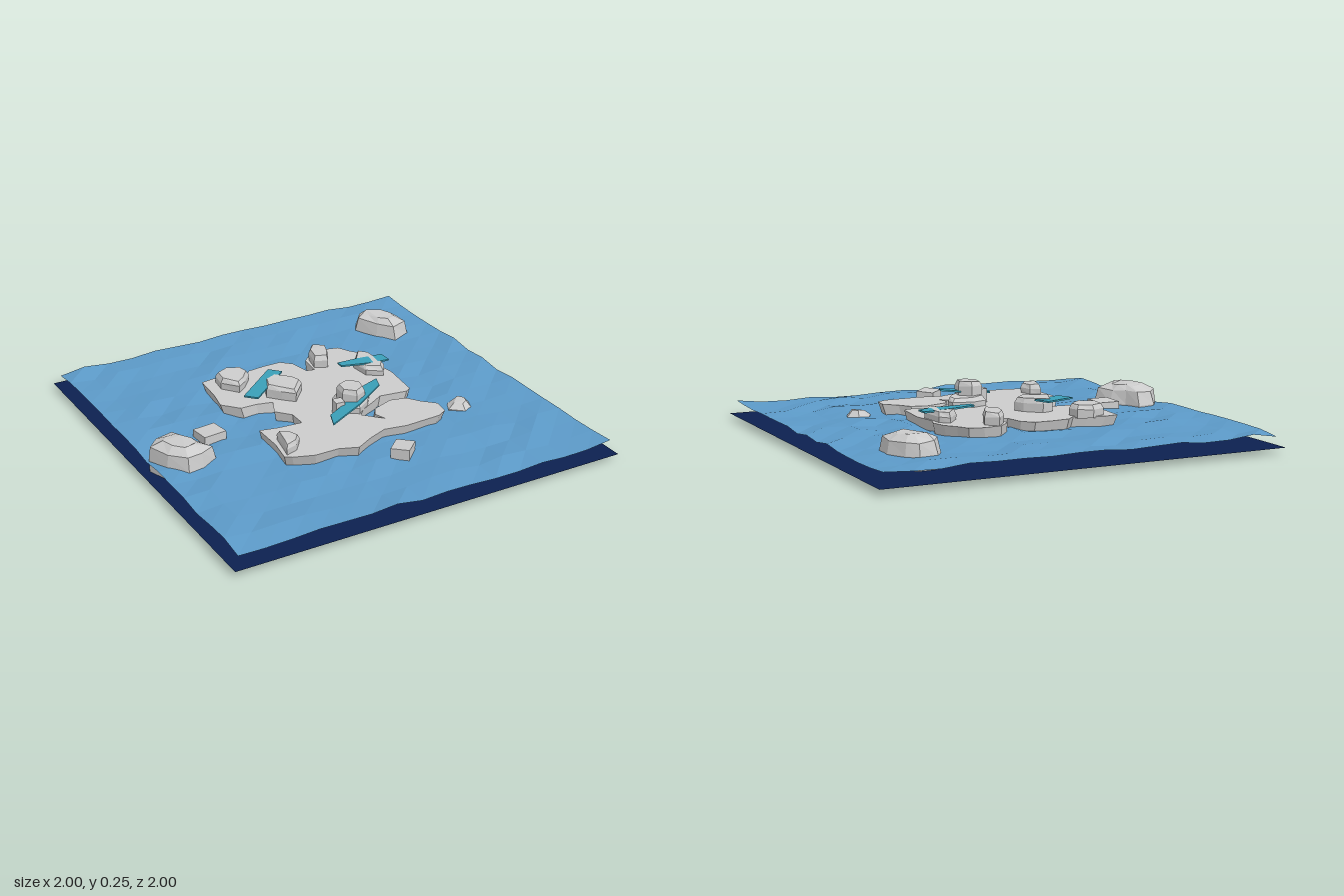
import * as THREE from 'three';

const ICE = 0xcccccc, SHARD = 0x3a9fb8, WATER = 0x5c9ac8, DEEP = 0x0c2150;

let seed = 7;
const rand = () => (seed = (seed * 16807) % 2147483647) / 2147483647;

function mesh(name, geometry, color) {
  const material = new THREE.MeshStandardMaterial({ flatShading: true, side: THREE.DoubleSide });
  material.color.set(color);
  const m = new THREE.Mesh(geometry, material);
  m.name = name;
  return m;
}

// Lofts a ground outline [x, z] through rings [scale, y, roughness]; tilt leans the solid.
function loft(outline, rings, tilt = [0, 0]) {
  let pts = outline.map(([x, z]) => new THREE.Vector2(x, z));
  if (THREE.ShapeUtils.isClockWise(pts)) pts = pts.reverse();
  const n = pts.length;
  const c = pts.reduce((s, p) => s.add(p), new THREE.Vector2()).divideScalar(n);
  const pos = [], idx = [];
  for (const [s, y, rough = 0] of rings) {
    for (const p of pts) {
      const k = s + (rand() - 0.5) * rough;
      const dx = (p.x - c.x) * k, dz = (p.y - c.y) * k;
      const dy = (rand() - 0.5) * rough * 0.12;
      pos.push(c.x + dx, y + dy + dx * tilt[0] + dz * tilt[1], c.y + dz);
    }
  }
  for (let r = 0; r < rings.length - 1; r++) {
    for (let i = 0; i < n; i++) {
      const a = r * n + i, b = r * n + (i + 1) % n;
      idx.push(a, a + n, b + n, a, b + n, b);
    }
  }
  const top = (rings.length - 1) * n;
  for (const [i, j, k] of THREE.ShapeUtils.triangulateShape(pts, [])) {
    const up = (pts[j].x - pts[i].x) * (pts[k].y - pts[i].y) - (pts[j].y - pts[i].y) * (pts[k].x - pts[i].x) < 0;
    const [u, v] = up ? [j, k] : [k, j];
    idx.push(top + i, top + u, top + v, i, v, u);
  }
  const g = new THREE.BufferGeometry();
  g.setAttribute('position', new THREE.Float32BufferAttribute(pos, 3));
  g.setIndex(idx);
  const flat = g.toNonIndexed();
  flat.computeVertexNormals();
  return flat;
}

// Rotated rectangle outline
function block(x, z, w, d, angle = 0) {
  const c = Math.cos(angle), s = Math.sin(angle);
  return [[-1, -1], [1, -1], [1, 1], [-1, 1]].map(([i, j]) => {
    const u = i * w / 2, v = j * d / 2;
    return [x + u * c - v * s, z + u * s + v * c];
  });
}

export function createModel() {
  const model = new THREE.Group();
  model.name = 'iceFloeScene';

  // Dark sea bed sheet
  const bed = new THREE.PlaneGeometry(2, 2).rotateX(-Math.PI / 2).translate(0, 0.024, 0);
  model.add(mesh('seaBed', bed, DEEP));

  // Rippled faceted water
  const water = new THREE.PlaneGeometry(1.94, 1.94, 15, 15).rotateX(-Math.PI / 2);
  const wp = water.attributes.position;
  for (let i = 0; i < wp.count; i++) wp.setY(i, 0.083 + (rand() - 0.5) * 0.022);
  water.computeVertexNormals();
  model.add(mesh('water', water, WATER));

  // Main floe with its ragged shoreline
  const shore = [
    [-.44, -.44], [-.37, -.45], [-.29, -.42], [-.23, -.39], [-.18, -.44], [-.09, -.45], [0, -.45], [.05, -.4],
    [.07, -.3], [.11, -.29], [.12, -.4], [.18, -.46], [.27, -.47], [.34, -.45], [.37, -.39], [.41, -.34],
    [.43, -.26], [.41, -.2], [.43, -.08], [.41, .12], [.38, .14], [.24, .12], [.19, .15], [.1, .2],
    [.06, .24], [.14, .33], [.12, .27], [.15, .22], [.26, .18], [.34, .2], [.38, .26], [.44, .32],
    [.43, .4], [.38, .43], [.19, .44], [.08, .42], [-.02, .46], [-.11, .51], [-.2, .475], [-.32, .475],
    [-.42, .44], [-.45, .42], [-.43, .3], [-.43, .14], [-.34, .16], [-.22, .17], [-.22, .08], [-.28, .01],
    [-.24, -.08], [-.32, -.1], [-.4, -.1], [-.47, -.18], [-.45, -.29],
  ];
  model.add(mesh('iceFloe', loft(shore, [[0.93, 0.02], [1, 0.132]]), ICE));

  // Ice boulders resting on the floe: outline and top height
  const boulders = new THREE.Group();
  boulders.name = 'floeBoulders';
  const heaps = [
    [[[-.38, -.41], [-.31, -.44], [-.24, -.41], [-.23, -.35], [-.28, -.29], [-.33, -.25], [-.39, -.33]], 0.19],
    [[[-.21, -.22], [-.15, -.24], [-.08, -.17], [-.06, -.12], [-.14, -.03], [-.19, -.08], [-.24, -.14]], 0.2],
    [[[.14, -.4], [.19, -.46], [.24, -.41], [.22, -.35], [.18, -.28], [.12, -.31]], 0.195],
    [[[.29, -.21], [.36, -.3], [.4, -.26], [.41, -.12], [.37, -.06], [.3, -.11]], 0.182],
    [[[-.4, .26], [-.35, .28], [-.33, .34], [-.37, .39], [-.43, .41], [-.42, .36]], 0.185],
    [[[0, .07], [.08, .04], [.18, .06], [.19, .1], [.14, .17], [.06, .23], [-.01, .18]], 0.185],
    [[[.01, .1], [.07, .08], [.12, .13], [.11, .19], [.05, .22], [0, .17]], 0.25],
  ];
  heaps.forEach(([outline, h], i) => {
    const rings = [[1, 0.125], [1.02, h - 0.025, 0.06], [0.84, h - 0.004, 0.06]];
    boulders.add(mesh('boulder' + (i + 1), loft(outline, rings), ICE));
  });
  boulders.add(mesh('smallBlock', loft(block(-.025, .175, .045, .05, .1), [[1, 0.125], [1, 0.2]]), ICE));
  model.add(boulders);

  // Thin blue shards leaning on the boulders: outline, height, tilt
  const shards = [
    [[[-.13, .31], [-.1, .23], [-.01, .195], [.11, .12], [.23, .1], [.21, .16], [.06, .24]], 0.189, [.16, 0]],
    [block(-.235, -.185, .27, .075, -.64), 0.183, [.09, 0]],
    [[[.19, -.2], [.3, -.205], [.445, -.2], [.445, -.13], [.35, -.13], [.19, -.16]], 0.178, [-.05, 0]],
  ];
  shards.forEach(([outline, y, tilt], i) =>
    model.add(mesh('blueShard' + (i + 1), loft(outline, [[1, y - 0.004], [1, y + 0.004]], tilt), SHARD)));

  // Large bergs floating apart from the floe
  const bergs = [
    ['leftEndBerg', [[-.8, -.04], [-.77, .04], [-.72, .11], [-.69, .21], [-.77, .255], [-.85, .265],
      [-.92, .18], [-.96, .06], [-.9, -.02]], 0.182],
    ['rightEndBerg', [[.62, -.745], [.71, -.75], [.76, -.71], [.81, -.62], [.8, -.52], [.7, -.47],
      [.64, -.56], [.58, -.68]], 0.178],
  ];
  for (const [name, outline, h] of bergs) {
    const rings = [[0.96, 0.02], [1, 0.085, 0.05], [0.88, h - 0.03, 0.1], [0.52, h - 0.004, 0.12]];
    model.add(mesh(name, loft(outline, rings), ICE));
  }

  // Small drifting ice blocks
  const chip = [[.5, .33], [.53, .27], [.59, .25], [.63, .3], [.61, .36], [.56, .385]];
  model.add(mesh('driftChip', loft(chip, [[0.95, 0.02], [1, 0.085, 0.05], [0.5, 0.113, 0.1]]), ICE));
  model.add(mesh('sideBlock', loft(block(-.62, .005, .115, .11, -.08), [[1, 0], [1, 0.122]], [.02, .05]), ICE));
  model.add(mesh('frontBlock', loft(block(.07, .595, .105, .09, -.75), [[1, 0.02], [1, 0.136]], [0, .06]), ICE));

  return model;
}
